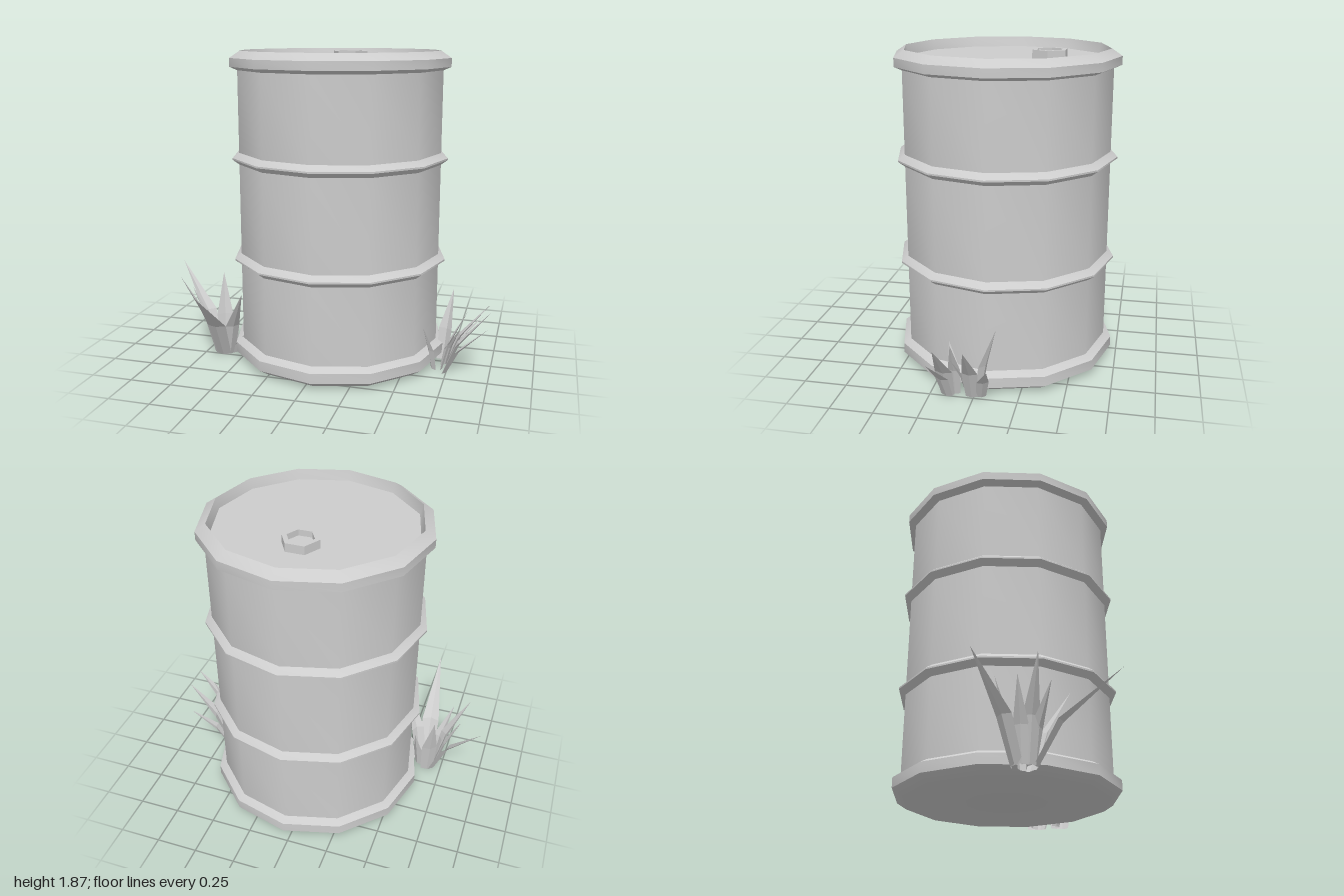
import * as THREE from 'three';
import { toCreasedNormals } from 'three/addons/utils/BufferGeometryUtils.js';

const metal = new THREE.MeshStandardMaterial({ color: 0xcccccc });
metal.name = 'light grey';
const leaf = new THREE.MeshStandardMaterial({ color: 0xcccccc, side: THREE.DoubleSide });
leaf.name = 'light grey grass';

function turned(name, profile, sides, start, crease) {
  const points = profile.map(([r, y]) => new THREE.Vector2(r, y));
  const geometry = toCreasedNormals(new THREE.LatheGeometry(points, sides, start), crease);
  const mesh = new THREE.Mesh(geometry, metal);
  mesh.name = name;
  return mesh;
}

// One folded blade: V-shaped sections at the root and the bend, closing to a point
function blade([rx, rz, tx, ty, tz, width]) {
  const root = new THREE.Vector3(rx, 0, rz);
  const tip = new THREE.Vector3(tx, ty, tz);
  const out = new THREE.Vector3(tx - rx, 0, tz - rz).normalize();
  const side = new THREE.Vector3(-out.z, 0, out.x);
  const bend = root.clone().lerp(tip, 0.27);
  bend.y = ty * 0.45;
  const section = (centre, w) => [-1, 0, 1].map((k) => centre.clone()
    .addScaledVector(side, k * w / 2)
    .addScaledVector(out, k === 0 ? w * 0.2 : 0));
  const a = section(root, width * 0.8);
  const b = section(bend, width);
  const corners = [];
  for (let i = 0; i < 2; i++) {
    corners.push(a[i], a[i + 1], b[i + 1], a[i], b[i + 1], b[i], b[i], b[i + 1], tip);
  }
  const geometry = new THREE.BufferGeometry().setFromPoints(corners);
  geometry.computeVertexNormals();
  const mesh = new THREE.Mesh(geometry, leaf);
  mesh.name = 'grassBlade';
  return mesh;
}

function tuft(name, blades) {
  const group = new THREE.Group();
  group.name = name;
  blades.forEach((b) => group.add(blade(b)));
  return group;
}

export function createModel() {
  const model = new THREE.Group();
  model.name = 'barrelWithGrass';

  // Twelve-sided drum with end rims, two raised hoops and a sunken lid
  const hoop = (y) => [[0.615, y - 0.035], [0.655, y - 0.005], [0.655, y + 0.005], [0.615, y + 0.035]];
  const drum = new THREE.Group();
  drum.name = 'drum';
  drum.position.set(0.04, 0, -0.055);
  drum.add(turned('drumShell', [
    [0, 0], [0.6, 0], [0.66, 0.04], [0.66, 0.1], [0.615, 0.125],
    ...hoop(0.63), ...hoop(1.245),
    [0.615, 1.76], [0.66, 1.78], [0.66, 1.83], [0.6, 1.87], [0.583, 1.81], [0, 1.81],
  ], 12, 0, 0.62));

  // Hexagonal filler cap with a hollow middle
  const cap = turned('fillerCap', [
    [0.108, 1.81], [0.108, 1.86], [0.078, 1.86], [0.078, 1.825], [0, 1.825],
  ], 6, Math.PI / 2, 0.3);
  cap.position.z = -0.25;
  drum.add(cap);
  model.add(drum);

  // Each blade: root x, root z, tip x, tip y, tip z, width
  model.add(tuft('rightGrass', [
    [-0.69, 0.16, -1.0, 0.51, 0.0, 0.1],
    [-0.68, 0.22, -0.88, 0.51, 0.31, 0.09],
    [-0.67, 0.23, -0.77, 0.4, 0.355, 0.08],
    [-0.7, 0.19, -0.85, 0.41, 0.2, 0.08],
    [-0.66, 0.14, -0.7, 0.47, 0.05, 0.1],
    [-0.63, 0.24, -0.595, 0.51, 0.7, 0.11],
    [-0.6, 0.23, -0.44, 0.455, 0.4, 0.09],
    [-0.6, 0.17, -0.57, 0.28, 0.12, 0.08],
    [-0.57, 0.2, -0.49, 0.14, 0.24, 0.05],
  ]));
  model.add(tuft('leftGrass', [
    [0.7, -0.02, 0.75, 0.43, -0.13, 0.09],
    [0.73, 0.01, 0.99, 0.4, 0.0, 0.09],
    [0.72, -0.04, 0.935, 0.27, -0.115, 0.07],
    [0.73, 0.15, 1.0, 0.4, 0.16, 0.1],
    [0.74, 0.15, 0.99, 0.31, 0.2, 0.08],
    [0.71, 0.11, 0.86, 0.37, 0.1, 0.07],
    [0.72, 0.03, 0.82, 0.26, 0.11, 0.07],
    [0.67, 0.12, 0.61, 0.27, 0.17, 0.07],
  ]));
  return model;
}
